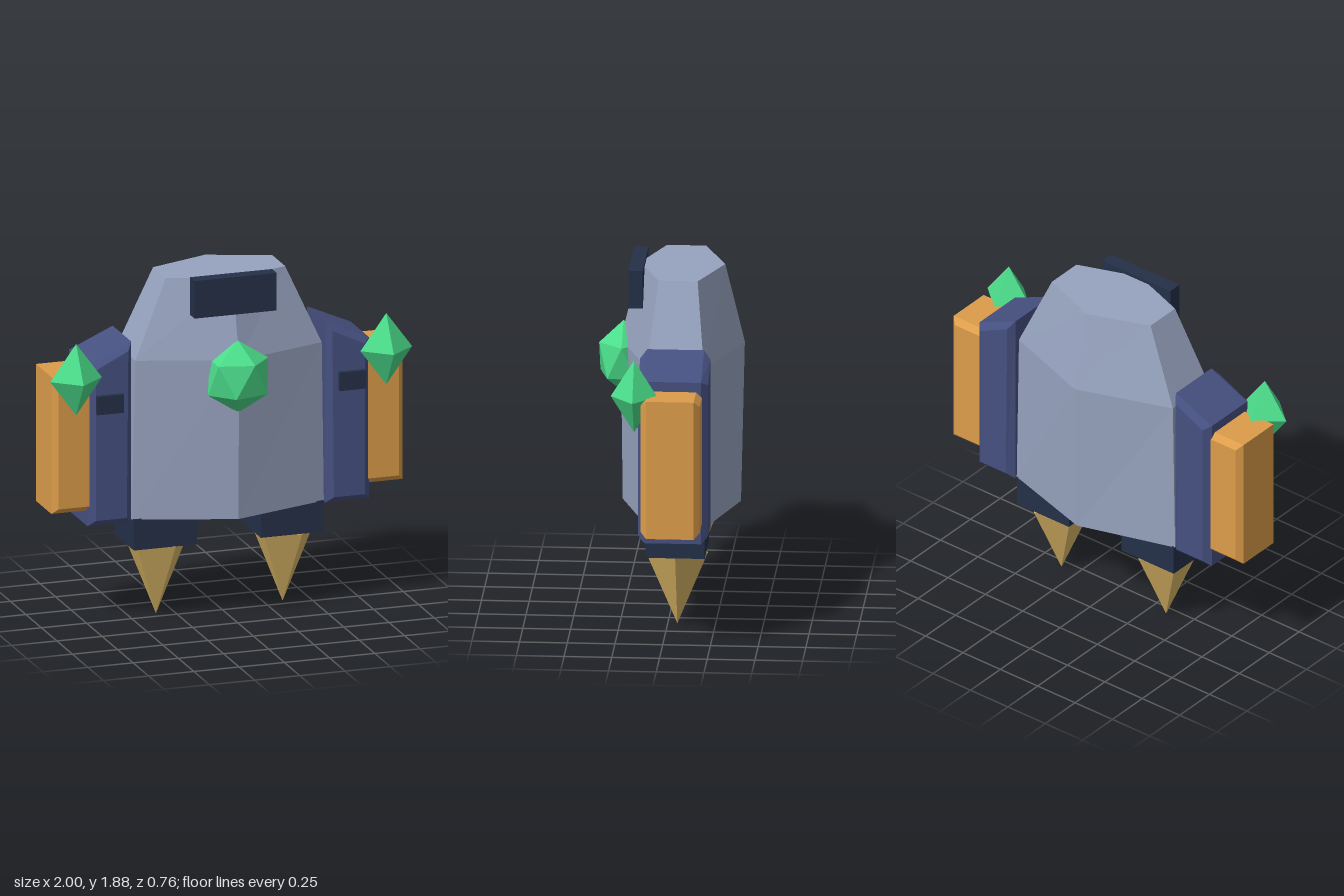
import * as THREE from 'three';

const mat = (name, color) => {
  const m = new THREE.MeshStandardMaterial({ color });
  m.name = name;
  m.flatShading = true;
  return m;
};

// Closed hull from stacked six-sided sections: [y, half width, front z, side front z, side back z, back z]
function hexHull(sections) {
  const rings = sections.map(([y, w, f, sf, sb, b]) => [
    [0, y, f], [w, y, sf], [w, y, sb], [0, y, b], [-w, y, sb], [-w, y, sf],
  ]);
  const pos = [];
  const tri = (...pts) => pts.forEach((p) => pos.push(...p));
  for (let r = 0; r < rings.length - 1; r++) {
    const lo = rings[r], hi = rings[r + 1];
    for (let i = 0; i < 6; i++) {
      const j = (i + 1) % 6;
      tri(lo[i], lo[j], hi[j]);
      tri(lo[i], hi[j], hi[i]);
    }
  }
  const bottom = rings[0], top = rings[rings.length - 1];
  for (let i = 1; i < 5; i++) {
    tri(top[0], top[i], top[i + 1]);
    tri(bottom[0], bottom[i + 1], bottom[i]);
  }
  const g = new THREE.BufferGeometry();
  g.setAttribute('position', new THREE.Float32BufferAttribute(pos, 3));
  g.computeVertexNormals();
  return g;
}

// Outline in x/y, extruded from z0 to z1 with chamfered front and back faces
function chamferedSlab(points, z0, z1, bevel) {
  const shape = new THREE.Shape(points.map(([x, y]) => new THREE.Vector2(x, y)));
  const g = new THREE.ExtrudeGeometry(shape, {
    depth: z1 - z0 - 2 * bevel,
    bevelEnabled: true,
    bevelThickness: bevel,
    bevelSize: bevel,
    bevelOffset: -bevel,
    bevelSegments: 1,
  });
  g.translate(0, 0, z0 + bevel);
  return g;
}

// Box given by its extents
function extentBox(x0, x1, y0, y1, z0, z1) {
  const g = new THREE.BoxGeometry(x1 - x0, y1 - y0, z1 - z0);
  g.translate((x0 + x1) / 2, (y0 + y1) / 2, (z0 + z1) / 2);
  return g;
}

export function createModel() {
  const model = new THREE.Group();
  model.name = 'crystalTorso';

  const stone = mat('paleSlate', 0x96a2be);
  const navy = mat('navy', 0x465080);
  const dark = mat('darkNavy', 0x243049);
  const orange = mat('amber', 0xdc9c4a);
  const gold = mat('gold', 0xd9b564);
  const green = mat('emerald', 0x4bdc8a);

  const add = (name, geometry, material, parent = model) => {
    const mesh = new THREE.Mesh(geometry, material);
    mesh.name = name;
    parent.add(mesh);
    return mesh;
  };

  // Faceted torso
  add('torso', hexHull([
    [0.57, 0.53, 0.26, 0.09, -0.2, -0.36],
    [1.44, 0.515, 0.27, 0.1, -0.2, -0.38],
    [1.86, 0.33, 0.17, 0.05, -0.155, -0.278],
  ]), stone);

  // Brow plate
  add('visor', extentBox(-0.227, 0.227, 1.675, 1.88, 0.14, 0.215), dark);

  // Chest crystal, standing on one point
  const core = new THREE.IcosahedronGeometry(1, 0);
  core.rotateZ(-Math.atan(2 / (1 + Math.sqrt(5))));
  core.scale(0.186, 0.197, 0.147);
  core.translate(0, 1.348, 0.255);
  add('chestCrystal', core, green);

  for (const s of [1, -1]) {
    const side = new THREE.Group();
    side.name = s > 0 ? 'leftSide' : 'rightSide';
    model.add(side);

    // Shoulder slab with sloping top
    add('shoulderSlab', chamferedSlab(
      [[s * 0.537, 0.56], [s * 0.778, 0.56], [s * 0.778, 1.44], [s * 0.537, 1.547]],
      -0.238, 0.13, 0.035), navy, side);

    // Small plate on the slab's front
    add('slabPlate', extentBox(s * 0.67 - 0.073, s * 0.67 + 0.073, 1.18, 1.28, 0.11, 0.155), dark, side);

    // Outer arm block
    add('armBlock', chamferedSlab(
      [[s * 0.72, 0.64], [s * 0.97, 0.64], [s * 0.97, 1.388], [s * 0.72, 1.388]],
      -0.207, 0.103, 0.03), orange, side);

    // Shoulder crystal
    const gem = new THREE.OctahedronGeometry(1, 0);
    gem.scale(0.143, 0.195, 0.122);
    gem.translate(s * 0.857, 1.383, 0.143);
    add('shoulderCrystal', gem, green, side);

    // Hip block and five-sided spike
    add('hipBlock', extentBox(s * 0.351 - 0.174, s * 0.351 + 0.174, 0.405, 0.575, -0.205, 0.105), dark, side);
    const spike = new THREE.ConeGeometry(0.172, 0.405, 5, 1, false, Math.PI / 2);
    spike.rotateX(Math.PI);
    spike.translate(s * 0.35, 0.2025, -0.05);
    add('footSpike', spike, gold, side);
  }

  return model;
}
